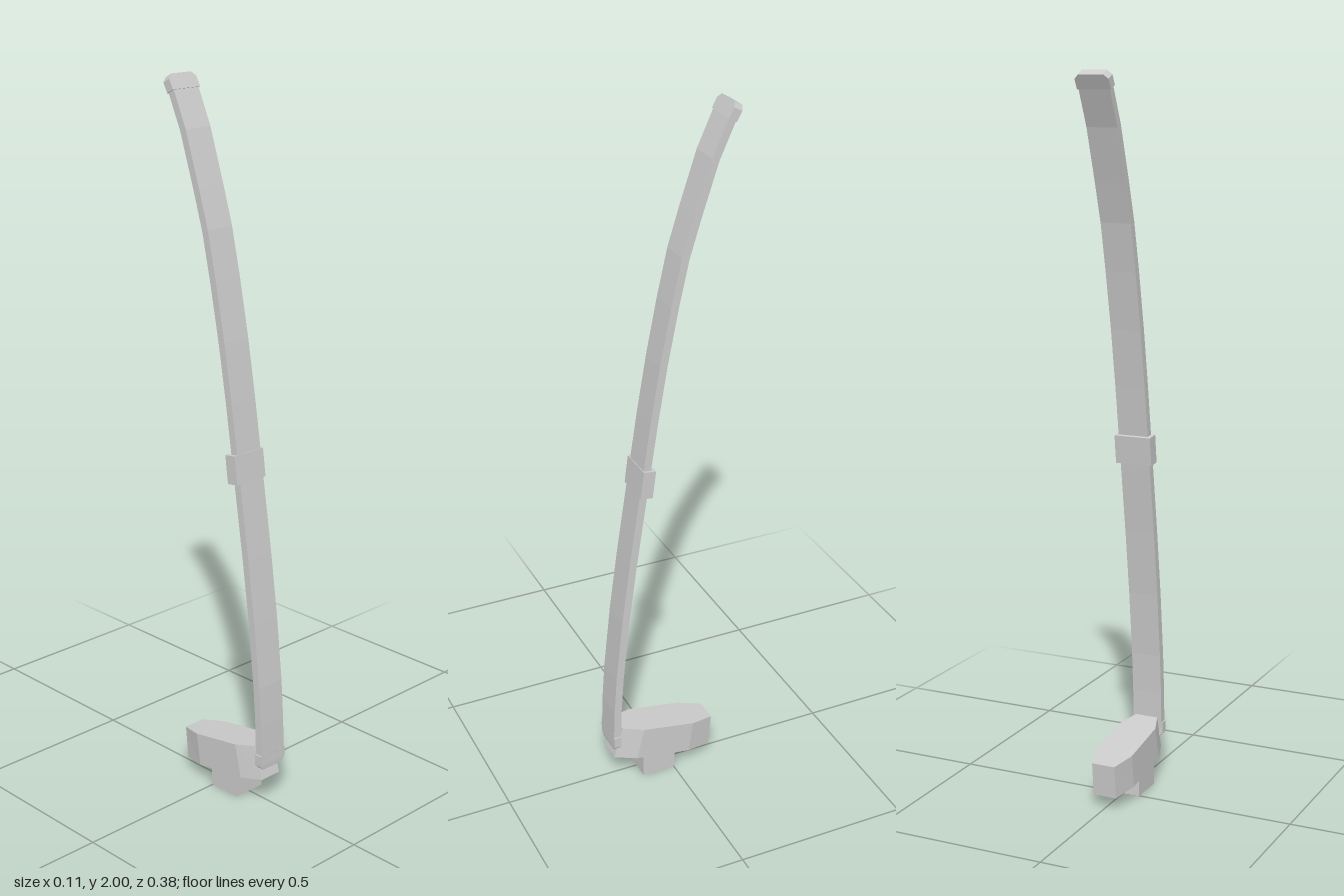
import * as THREE from 'three';

const mat = new THREE.MeshStandardMaterial({ color: 0xcccccc, flatShading: true });

function add(group, name, geometry) {
  const mesh = new THREE.Mesh(geometry, mat);
  mesh.name = name;
  group.add(mesh);
  return mesh;
}

// Centre line of the strap as [z, y], bottom to top
const LINE = [
  [0.178, 0.13], [0.174, 0.25], [0.166, 0.363], [0.146, 0.55], [0.121, 0.735],
  [0.083, 0.985], [0.056, 1.16], [0.029, 1.318], [-0.003, 1.478],
  [-0.033, 1.61], [-0.066, 1.716], [-0.114, 1.86], [-0.168, 1.978],
].map(([z, y]) => new THREE.Vector2(z, y));

// Flat band: the centre line offset to both sides, extruded across x
function bandGeometry(width, thickness) {
  const front = [], back = [];
  LINE.forEach((p, i) => {
    const a = LINE[Math.max(i - 1, 0)], b = LINE[Math.min(i + 1, LINE.length - 1)];
    const d = b.clone().sub(a).normalize();
    const n = new THREE.Vector2(d.y, -d.x).multiplyScalar(thickness / 2);
    front.push(p.clone().add(n));
    back.unshift(p.clone().sub(n));
  });
  const geo = new THREE.ExtrudeGeometry(new THREE.Shape([...front, ...back]),
    { depth: width, bevelEnabled: false });
  return geo.translate(0, 0, -width / 2).rotateY(-Math.PI / 2);
}

// Strap end: a small plate whose outer corners are cut off
function tipGeometry(half, height, thickness) {
  const cut = 0.013, h = height / 2;
  const shape = new THREE.Shape([
    [-half, -h], [half, -h], [half, h - cut], [half - cut, h], [cut - half, h], [-half, h - cut],
  ].map(([x, y]) => new THREE.Vector2(x, y)));
  return new THREE.ExtrudeGeometry(shape, { depth: thickness, bevelEnabled: false })
    .translate(0, 0, -thickness / 2);
}

// Tilted eight-sided body, its plan sheared between the top and bottom faces
function bodyGeometry() {
  const plan = [[0, 0.034], [0.24, 0.055], [0.79, 0.055], [1, 0.034]];
  const outline = [...plan.map(([t, w]) => [w, t]), ...plan.map(([t, w]) => [-w, t]).reverse()];
  const geo = new THREE.ExtrudeGeometry(
    new THREE.Shape(outline.map(([x, t]) => new THREE.Vector2(x, t))),
    { depth: 1, bevelEnabled: false }).rotateX(Math.PI / 2);
  const pos = geo.attributes.position;
  const lerp = THREE.MathUtils.lerp;
  for (let i = 0; i < pos.count; i++) {
    const t = pos.getZ(i), down = -pos.getY(i);
    const z = lerp(lerp(-0.13, 0.156, t), lerp(-0.12, 0.183, t), down);
    const y = lerp(lerp(0.13, 0.178, t), lerp(0.035, 0.082, t), down);
    pos.setXYZ(i, pos.getX(i), y, z);
  }
  geo.computeVertexNormals();
  return geo;
}

export function createModel() {
  const group = new THREE.Group();
  group.name = 'strapWithFoot';

  add(group, 'strap', bandGeometry(0.088, 0.022)).position.x = 0.002;

  const topTip = add(group, 'topTip', tipGeometry(0.048, 0.043, 0.025));
  topTip.position.set(0.002, 1.975, -0.168);
  topTip.rotation.x = -0.5;

  const bottomTip = add(group, 'bottomTip', tipGeometry(0.048, 0.045, 0.021));
  bottomTip.position.set(0.002, 0.138, 0.177);
  bottomTip.rotation.set(0.03, 0, Math.PI);

  // Keeper loop around the middle of the strap
  const keeper = add(group, 'keeper', new THREE.BoxGeometry(0.107, 0.08, 0.036));
  keeper.position.set(0, 0.98, 0.078);
  keeper.rotation.x = -0.13;

  add(group, 'footBody', bodyGeometry());
  add(group, 'footTab', new THREE.BoxGeometry(0.1, 0.085, 0.102)).position.set(0, 0.0425, 0.047);

  return group;
}
